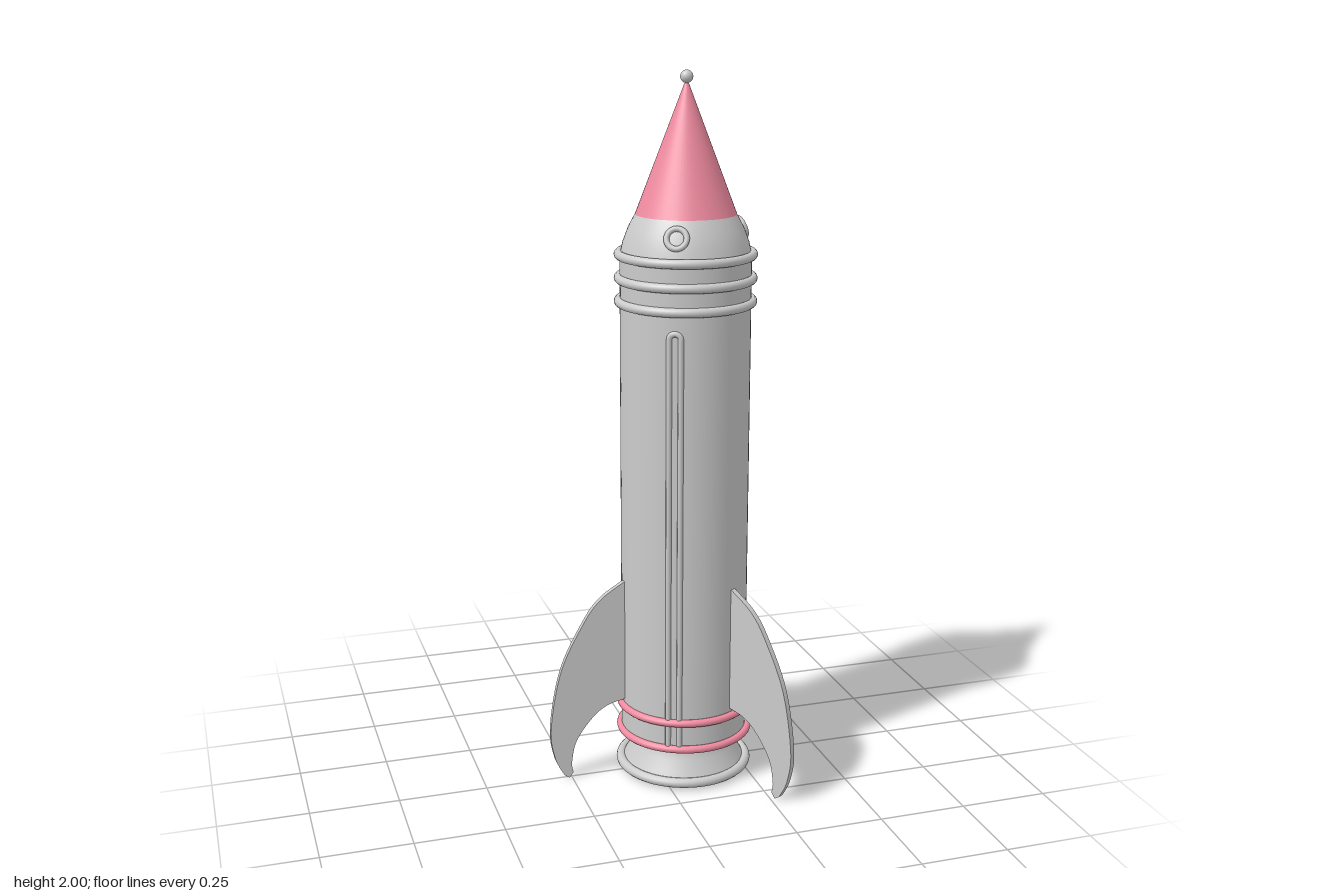
import * as THREE from 'three';

const grey = new THREE.MeshStandardMaterial({ color: 0xcccccc });
const pink = new THREE.MeshStandardMaterial({ color: 0xf08ba0 });
const rad = THREE.MathUtils.degToRad;

function add(parent, name, geometry, material = grey) {
  const mesh = new THREE.Mesh(geometry, material);
  mesh.name = name;
  parent.add(mesh);
  return mesh;
}

function lathe(points) {
  return new THREE.LatheGeometry(points.map(([r, y]) => new THREE.Vector2(r, y)), 64);
}

function ring(parent, name, y, radius, tube, material) {
  const mesh = add(parent, name, new THREE.TorusGeometry(radius, tube, 12, 64), material);
  mesh.rotation.x = Math.PI / 2;
  mesh.position.y = y;
  return mesh;
}

// Swept-back fin drawn in the radius / height plane
function finGeometry() {
  const shape = new THREE.Shape();
  shape.moveTo(0.165, 0.59);
  shape.lineTo(0.183, 0.585);
  shape.splineThru([[0.25, 0.54], [0.3, 0.475], [0.368, 0.336], [0.4, 0.165], [0.39, 0.07], [0.363, 0.012]]
    .map(([x, y]) => new THREE.Vector2(x, y)));
  shape.lineTo(0.348, 0.002);
  shape.lineTo(0.336, 0.018);
  shape.splineThru([[0.34, 0.05], [0.325, 0.115], [0.278, 0.18], [0.23, 0.215], [0.165, 0.23]]
    .map(([x, y]) => new THREE.Vector2(x, y)));
  shape.closePath();
  const geometry = new THREE.ExtrudeGeometry(shape, { depth: 0.016, bevelEnabled: false, curveSegments: 24 });
  return geometry.translate(0, 0, -0.008);
}

// Narrow upside-down U of tubing lying on the hull
function stripGeometry() {
  const path = new THREE.CurvePath();
  const r = 0.181, w = 0.016, low = 0.12, high = 1.31;
  const p = (y, z) => new THREE.Vector3(r, y, z);
  path.add(new THREE.LineCurve3(p(low, -w), p(high, -w)));
  path.add(new THREE.CubicBezierCurve3(p(high, -w), p(high + 0.021, -w), p(high + 0.021, w), p(high, w)));
  path.add(new THREE.LineCurve3(p(high, w), p(low, w)));
  return new THREE.TubeGeometry(path, 400, 0.008, 8, false);
}

export function createModel() {
  const model = new THREE.Group();
  model.name = 'rocket';
  const rocket = new THREE.Group();
  rocket.name = 'rocketBody';
  rocket.position.x = 0.09;
  model.add(rocket);

  // Hull, shoulder and nose
  const hull = add(rocket, 'hull', new THREE.CylinderGeometry(0.18, 0.18, 1.4, 64));
  hull.position.y = 0.815;
  add(rocket, 'shoulder', lathe([[0.18, 1.51], [0.172, 1.545], [0.157, 1.585], [0.138, 1.62]]));
  const nose = add(rocket, 'noseCone', new THREE.CylinderGeometry(0.006, 0.138, 0.345, 64), pink);
  nose.position.y = 1.7925;
  const tip = add(rocket, 'noseBall', new THREE.SphereGeometry(0.0175, 24, 16));
  tip.position.y = 1.9825;

  // Exhaust nozzle with a closed underside
  add(rocket, 'nozzle', lathe([[0.178, 0.022], [0.166, 0.045], [0.15, 0.075], [0.14, 0.1], [0.136, 0.13]]));
  const cap = add(rocket, 'nozzleFloor', new THREE.CircleGeometry(0.18, 64));
  cap.rotation.x = Math.PI / 2;
  cap.position.y = 0.022;
  ring(rocket, 'nozzleRim', 0.022, 0.182, 0.014, grey);

  // Bands around the hull
  for (const y of [1.383, 1.447, 1.512]) ring(rocket, 'upperBand', y, 0.183, 0.013, grey);
  for (const y of [0.127, 0.207]) ring(rocket, 'lowerBand', y, 0.185, 0.011, pink).position.x = 0.002;

  // Fins
  const fin = finGeometry();
  for (const angle of [180, 60, -59]) add(rocket, 'fin', fin).rotation.y = rad(angle);

  // Portholes with a tubing strip below each
  const strip = stripGeometry();
  const porthole = new THREE.TorusGeometry(0.027, 0.008, 12, 40);
  porthole.rotateY(Math.PI / 2).rotateZ(rad(21)).translate(0.162, 1.576, 0);
  for (const angle of [3, 123, -117]) {
    add(rocket, 'hullStrip', strip).rotation.y = rad(angle);
    add(rocket, 'porthole', porthole).rotation.y = rad(angle);
  }
  return model;
}
